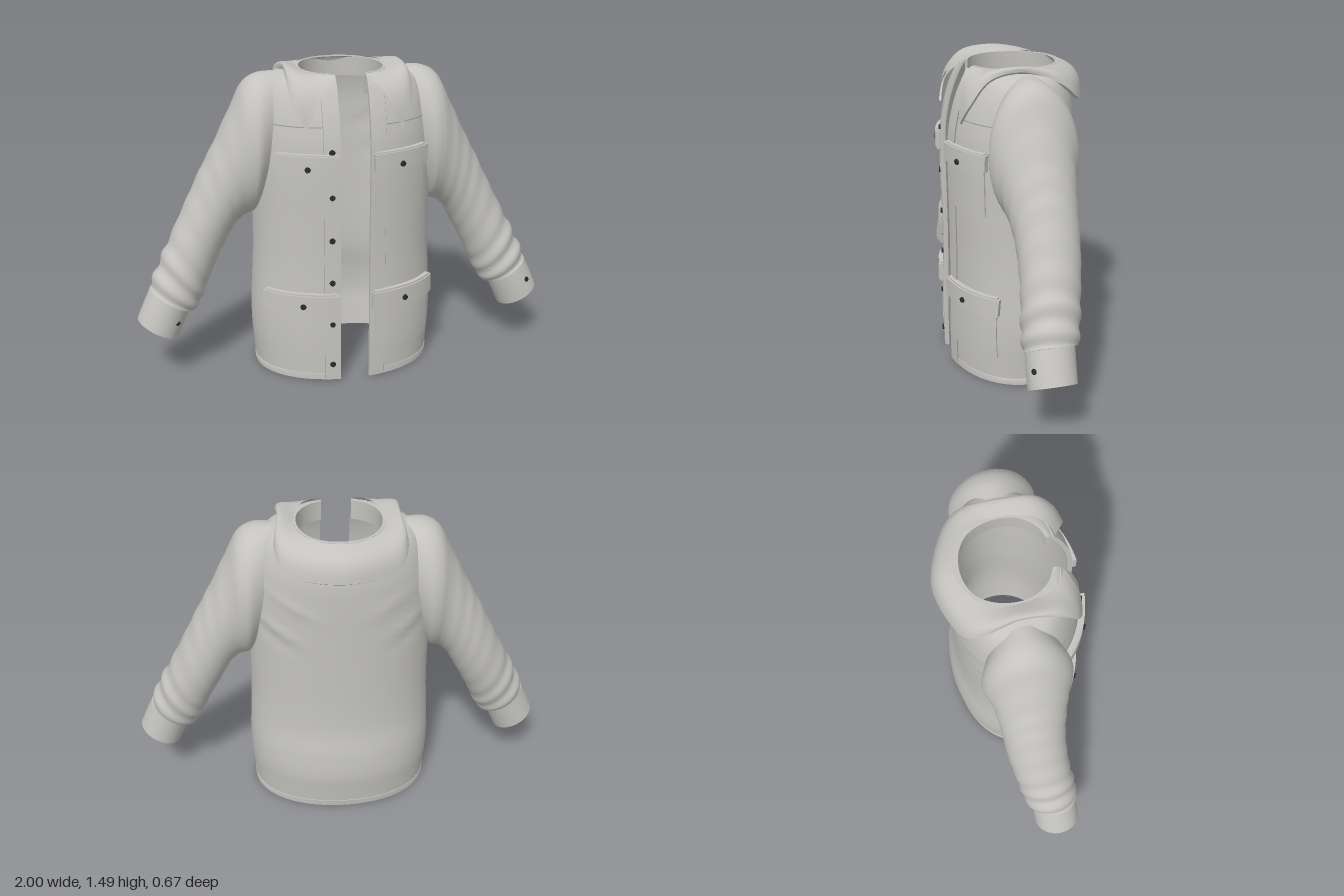
import * as THREE from 'three';
import { toCreasedNormals } from 'three/addons/utils/BufferGeometryUtils.js';

const mat = (name, color, side = THREE.DoubleSide) => Object.assign(new THREE.MeshStandardMaterial({ color, side }), { name });

// Catmull-Rom through rows of numbers, t from 0 to 1
function spline(rows, t) {
  const n = rows.length - 1, f = Math.min(t * n, n - 1e-6), i = Math.floor(f), u = f - i;
  const at = k => rows[Math.max(0, Math.min(n, k))];
  const [a, b, c, d] = [at(i - 1), at(i), at(i + 1), at(i + 2)];
  return b.map((_, k) => b[k] + 0.5 * u * (c[k] - a[k] + u * (2 * a[k] - 5 * b[k] + 4 * c[k] - d[k] + u * (3 * (b[k] - c[k]) + d[k] - a[k]))));
}
const sample = (rows, n) => Array.from({ length: n + 1 }, (_, i) => spline(rows, i / n));

// Skin over rows of points; each row may close on itself
function skin(rows, closed, crease = 0.7) {
  const m = rows[0].length, idx = [];
  for (let i = 0; i < rows.length - 1; i++) for (let j = 0; j < (closed ? m : m - 1); j++) {
    const k = (j + 1) % m, a = i * m + j, b = i * m + k, c = a + m, d = b + m;
    idx.push(a, b, c, b, d, c);
  }
  const g = new THREE.BufferGeometry();
  g.setAttribute('position', new THREE.Float32BufferAttribute(rows.flat(2), 3));
  g.setIndex(idx);
  return toCreasedNormals(g, crease);
}

const POW = 2.1, GAP = 0.07;
// Torso sections: height, half width, front z, back z
const torso = sample([
  [0, 0.428, 0.31, -0.29], [0.1, 0.436, 0.312, -0.302], [0.2, 0.444, 0.312, -0.312], [0.32, 0.445, 0.31, -0.303],
  [0.45, 0.438, 0.308, -0.282], [0.6, 0.43, 0.306, -0.276], [0.8, 0.428, 0.308, -0.277], [1.0, 0.43, 0.31, -0.28],
  [1.15, 0.425, 0.306, -0.282], [1.26, 0.41, 0.288, -0.28], [1.34, 0.39, 0.265, -0.268], [1.4, 0.36, 0.24, -0.252],
  [1.435, 0.32, 0.222, -0.24], [1.453, 0.27, 0.208, -0.232], [1.46, 0.22, 0.2, -0.228]], 72);

// Raised cloth folds on the back, running from the armpits
function fold(x, y, z) {
  if (z > 0) return 0;
  const ridge = (cx, cy, slope, len) => {
    const dx = Math.abs(x) - cx, dy = y - cy - slope * dx;
    return Math.exp(-((dx / len) ** 2) - (dy / 0.022) ** 2);
  };
  return 0.012 * (ridge(0.3, 1.02, 0.55, 0.1) - 0.7 * ridge(0.31, 0.975, 0.55, 0.1) + 0.6 * ridge(0.22, 1.15, 0.5, 0.1));
}

// Open-fronted garment shell with wall thickness
function shell(sections, wall) {
  const n = 96, signPow = v => Math.sign(v) * Math.abs(v) ** (2 / POW);
  const arc = ([y, w, zf, zb], inset) => {
    const a0 = Math.asin((GAP / (w - inset)) ** (POW / 2));
    return Array.from({ length: n + 1 }, (_, j) => {
      const a = a0 + (2 * Math.PI - 2 * a0) * j / n, c = Math.cos(a);
      const x = signPow(Math.sin(a)) * (w - inset), z = signPow(c) * (c > 0 ? zf - inset : -zb - inset);
      return [x, y, z - fold(x, y, z)];
    });
  };
  const loop = s => [...arc(s, 0), ...arc(s, wall).reverse()];
  const rim = s => [...arc(s, wall), ...arc(s, wall).reverse()];
  return skin([rim(sections[0]), ...sections.map(loop), rim(sections.at(-1))], true);
}

// Front surface height and outward direction
function frontZ(x, y) {
  let i = 0;
  while (i < torso.length - 2 && torso[i + 1][0] < y) i++;
  const [a, b] = [torso[i], torso[i + 1]], u = (y - a[0]) / (b[0] - a[0]);
  const w = a[1] + (b[1] - a[1]) * u, zf = a[2] + (b[2] - a[2]) * u;
  return zf * Math.max(0, 1 - Math.abs(x / w) ** POW) ** (1 / POW);
}
function onFront(x, y, d) {
  const s = (frontZ(x + 0.005, y) - frontZ(x - 0.005, y)) / 0.01, l = Math.hypot(1, s);
  return [x - s / l * d, y, frontZ(x, y) + d / l, Math.atan2(-s, 1)];
}
// Cloth plate bent to the chest
function panel(x0, x1, y0, y1, thick, lift = 0) {
  const g = new THREE.BoxGeometry(x1 - x0, y1 - y0, thick, Math.ceil((x1 - x0) / 0.02), Math.ceil((y1 - y0) / 0.025), 1);
  const p = g.attributes.position;
  for (let i = 0; i < p.count; i++) {
    const q = onFront(p.getX(i) + (x0 + x1) / 2, p.getY(i) + (y0 + y1) / 2, p.getZ(i) + thick / 2 - 0.004 + lift);
    p.setXYZ(i, q[0], q[1], q[2]);
  }
  g.computeVertexNormals();
  return g;
}

// Sleeve rings: outer x,y, inner x,y, front z, back z; s mirrors
function ring([ox, oy, ix, iy, zf, zb], s, puff = () => 0) {
  const n = 40, cx = (ox + ix) / 2, cy = (oy + iy) / 2, cz = (zf + zb) / 2;
  return Array.from({ length: n }, (_, j) => {
    const a = 2 * Math.PI * j / n * s, k = 1 + puff(a), c = Math.cos(a) * k;
    return [s * (cx + (ox - ix) / 2 * c), cy + (oy - iy) / 2 * c, cz + (zf - zb) / 2 * Math.sin(a) * k];
  });
}
const sleeveRows = [
  [0.30, 1.452, 0.41, 0.82, 0.17, -0.17], [0.39, 1.447, 0.425, 0.80, 0.205, -0.2], [0.46, 1.405, 0.44, 0.79, 0.2, -0.195],
  [0.515, 1.30, 0.47, 0.78, 0.18, -0.17], [0.60, 1.13, 0.515, 0.74, 0.158, -0.152], [0.67, 1.0, 0.56, 0.66, 0.145, -0.142],
  [0.745, 0.85, 0.605, 0.575, 0.145, -0.13], [0.82, 0.70, 0.65, 0.48, 0.155, -0.11], [0.885, 0.57, 0.69, 0.39, 0.167, -0.09],
  [0.935, 0.46, 0.725, 0.335, 0.172, -0.07]];
const cuffRows = [[0.935, 0.455, 0.745, 0.355, 0.165, -0.05], [0.965, 0.392, 0.775, 0.292, 0.17, -0.046], [1.0, 0.312, 0.812, 0.208, 0.172, -0.042]];
const shrink = ([a, b, c, d, e, f], k) => {
  const mix = (p, q) => [p + (q - p) * k, q + (p - q) * k];
  const [x0, x1] = mix(a, c), [y0, y1] = mix(b, d), [z0, z1] = mix(e, f);
  return [x0, y0, x1, y1, z0, z1];
};

// Collar stations from front to centre back: neck point, then edge point
const collarHalf = [
  [0.08, 1.455, 0.22, 0.22, 1.24, 0.285], [0.14, 1.462, 0.185, 0.272, 1.33, 0.25], [0.19, 1.466, 0.11, 0.285, 1.44, 0.16],
  [0.21, 1.468, 0, 0.275, 1.462, 0], [0.2, 1.466, -0.1, 0.295, 1.405, -0.16], [0.135, 1.462, -0.185, 0.235, 1.325, -0.262]];
function collarGeometry() {
  const mirrored = collarHalf.map(([a, b, c, d, e, f]) => [-a, b, c, -d, e, f]);
  const stations = sample([...mirrored, [0, 1.46, -0.235, 0, 1.32, -0.34], ...[...collarHalf].reverse()], 72);
  const row = (t, drop) => stations.map(([a, b, c, d, e, f]) => {
    const bulge = Math.sin(Math.PI * t), l = Math.hypot(d, f), out = 0.026 * bulge - drop;
    return [a + (d - a) * t + d / l * out, b + (e - b) * t + 0.022 * bulge - drop * 0.7, c + (f - c) * t + f / l * out];
  });
  const ts = Array.from({ length: 11 }, (_, i) => i / 10);
  return skin([...ts.map(t => row(t, 0)), ...ts.reverse().map(t => row(t, 0.012))], false);
}

export function createModel() {
  const fabric = mat('grey fabric', 0xc4c3bf), dark = mat('dark button', 0x2b2b2b, THREE.FrontSide), seam = mat('seam thread', 0x9b9a97);
  const jacket = new THREE.Group();
  jacket.name = 'jacket';
  const add = (name, geo, material = fabric) => {
    const m = new THREE.Mesh(geo, material);
    m.name = name;
    jacket.add(m);
    return m;
  };
  const button = (name, x, y, z, turn) => {
    const m = add(name, new THREE.CylinderGeometry(0.012, 0.015, 0.012, 16).rotateX(Math.PI / 2), dark);
    m.position.set(x, y, z);
    m.rotation.y = turn;
  };
  const frontButton = (x, y, d) => button('frontButton', ...onFront(x, y, d));

  // Torso, hem band and neckband
  add('torso', shell(torso, 0.016));
  add('hem', shell([0.002, 0.03, 0.034].map((y, i) => [y, 0.4315 + y * 0.08 - (i === 2 ? 0.003 : 0), 0.3135, -0.2935 - y * 0.12]), 0.018));
  add('neckband', shell([[1.365, 0.212, 0.2, -0.238], [1.41, 0.208, 0.2, -0.236], [1.462, 0.206, 0.2, -0.234]], 0.012));
  add('collar', collarGeometry());

  for (const s of [1, -1]) {
    const side = s > 0 ? 'left' : 'right';
    const flat = (a, b, ...rest) => panel(Math.min(s * a, s * b), Math.max(s * a, s * b), ...rest);

    // Front edge, its stitching and the yoke seam
    add(side + 'Placket', flat(0.07, 0.143, 0.003, 1.45, 0.01));
    add(side + 'PlacketSeam', flat(0.141, 0.145, 0.01, 1.42, 0.006, 0.002), seam);
    add(side + 'YokeSeam', flat(0.145, 0.36, 1.243, 1.247, 0.006, 0), seam);

    // Chest and hip pockets with buttoned flaps
    add(side + 'ChestPocket', flat(0.088, 0.335, 0.83, 1.1, 0.013));
    add(side + 'ChestFlap', flat(0.08, 0.345, 1.045, 1.122, 0.033));
    add(side + 'ChestFlapEdge', flat(0.088, 0.337, 1.032, 1.128, 0.026));
    add(side + 'HipPocket', flat(0.095, 0.385, 0.14, 0.42, 0.013));
    add(side + 'HipFlap', flat(0.078, 0.392, 0.362, 0.445, 0.033));
    add(side + 'HipFlapEdge', flat(0.086, 0.386, 0.35, 0.453, 0.026));
    frontButton(s * 0.21, 1.063, 0.031);
    frontButton(s * 0.235, 0.393, 0.031);

    // Sleeve with folds gathering towards the wrist
    const rows = Array.from({ length: 91 }, (_, i) => {
      const t = i / 90, amp = 0.012 + 0.05 * THREE.MathUtils.smoothstep(t, 0.72, 0.88);
      const on = THREE.MathUtils.smoothstep(t, 0.28, 0.42);
      return ring(spline(sleeveRows, t), s, a => on * amp * Math.sin(t * 68 + 1.1 * Math.sin(a + 0.6)) * (0.7 + 0.3 * Math.cos(a - 0.5)));
    });
    rows.push(ring(shrink(sleeveRows.at(-1), 0.06), s), ring(cuffRows[0], s));
    add(side + 'Sleeve', skin(rows, true, 0.9));

    // Cuff, turned in at the wrist
    const inner = [...cuffRows].reverse().map(r => shrink(r, 0.06));
    add(side + 'Cuff', skin([...cuffRows, ...inner].map(r => ring(r, s)), true));
  }

  // Front and cuff buttons
  for (let i = 0; i < 6; i++) frontButton(-0.108, 0.085 + 0.21 * i, 0.008);
  button('leftCuffButton', 0.925, 0.355, 0.152, 0.45);
  button('rightCuffButton', -0.82, 0.305, 0.145, 0.4);
  return jacket;
}
